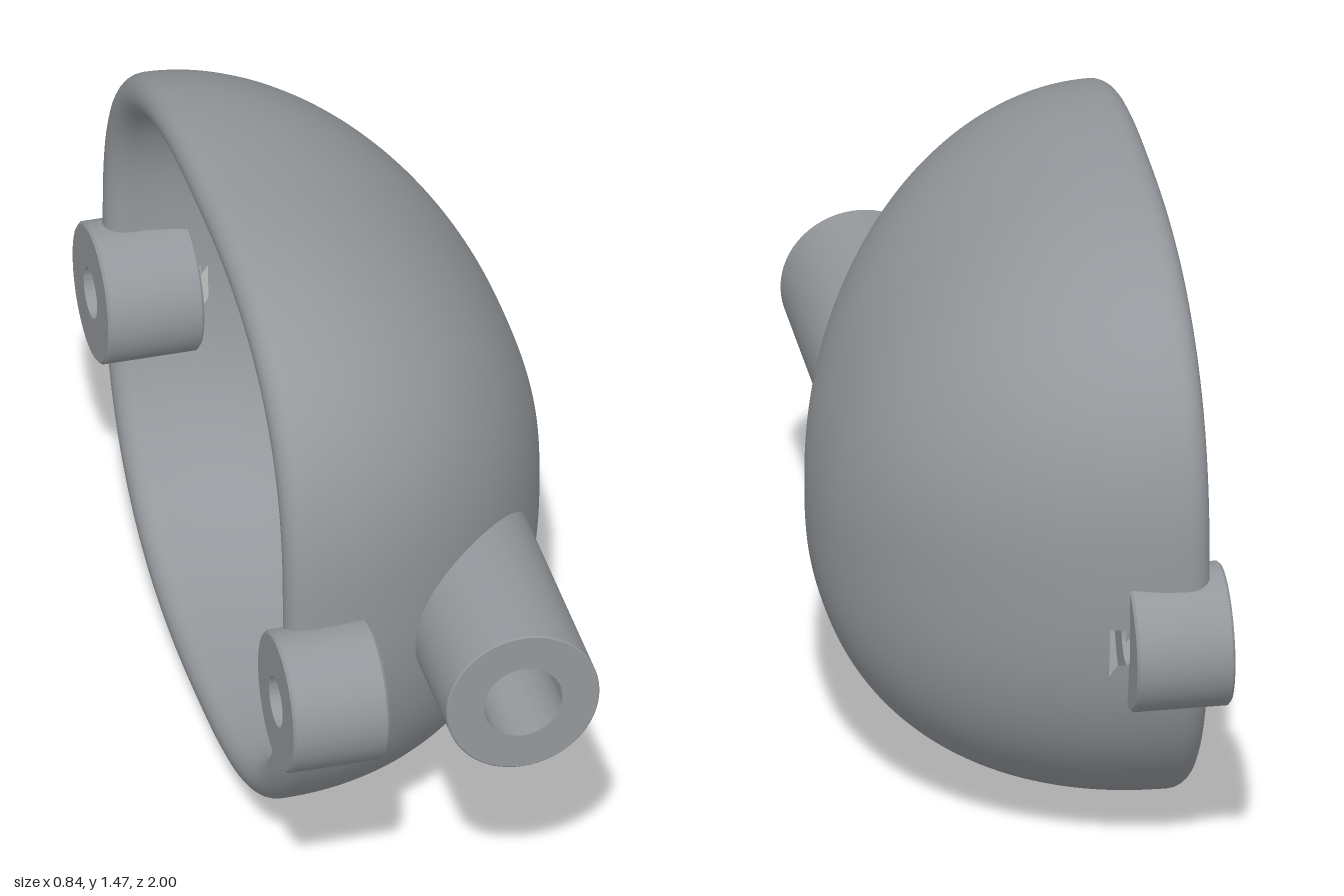
import * as THREE from 'three';
import { toCreasedNormals } from 'three/addons/utils/BufferGeometryUtils.js';

const gray = new THREE.MeshStandardMaterial({ color: 0x94989c });
gray.name = 'gray plastic';

const APEX = { y: 0.63, z: -0.15 };     // deepest point of the dome
const RIM = { y: 0.8, z: -0.03 };       // middle of the open rim
const SEG = 160;
const WALL = 0.09;
const LUG_Y = 0.617, LUG_Z = [0.817, -0.836];
const TUBE = { x: 0.115, y: 0.645 };

// Reach of the dome on one side: size at the rim, shrinking to 0 at t = 1
const reach = (size, t, n) => size * Math.pow(Math.max(0, 1 - Math.pow(t, n)), 1 / n);

// One rounded cross-section at x; t = 0 at the rim, 1 at the apex; off insets it
function ring(x, t, off) {
  const cy = THREE.MathUtils.lerp(RIM.y, APEX.y, t * t);
  const cz = THREE.MathUtils.lerp(RIM.z, APEX.z, t * t);
  const top = APEX.y + reach(0.835 - off, t, 1.9) - cy;
  const bottom = cy - APEX.y + reach(0.63 - off, t, 2.3);
  const front = APEX.z + reach(0.935 - off, t, 2) - cz;
  const back = cz - APEX.z + reach(0.76 - off, t, 1.9);
  const n = 2.6;
  const points = [];
  for (let j = 0; j < SEG; j++) {
    const a = (j / SEG) * Math.PI * 2, c = Math.cos(a), s = Math.sin(a);
    const r = Math.pow(Math.abs(c) ** n + Math.abs(s) ** n, -1 / n);
    points.push(x, cy + r * s * (s > 0 ? top : bottom), cz + r * c * (c > 0 ? front : back));
  }
  return points;
}

// True where a bore passes through the wall
function inBore(x, y, z) {
  if (z > 0 && Math.hypot(x - TUBE.x, y - TUBE.y) < 0.098) return true;
  return x < -0.15 && LUG_Z.some((lz) => Math.hypot(y - LUG_Y, z - lz) < 0.066);
}

// Hollow dome: outer skin, rolled rim, inner skin, opened at the bores
function shellGeometry() {
  const rings = [], steps = 64;
  for (let i = 0; i <= steps; i++) {
    const t = Math.cos((i / steps) * Math.PI / 2);
    rings.push(ring(-0.33 + 0.747 * t, t, 0));
  }
  for (let i = 1; i <= 12; i++) {
    const a = (i / 12) * Math.PI;
    rings.push(ring(-0.33 - 0.05 * Math.sin(a), 0, WALL / 2 * (1 - Math.cos(a))));
  }
  for (let i = 1; i <= steps; i++) {
    const t = Math.sin((i / steps) * Math.PI / 2);
    rings.push(ring(-0.33 + (0.747 - WALL) * t, t, WALL));
  }
  const pos = rings.flat(), index = [];
  for (let i = 0; i < rings.length - 1; i++) {
    for (let j = 0; j < SEG; j++) {
      const k = (j + 1) % SEG;
      const a = i * SEG + j, b = i * SEG + k, c = a + SEG, d = b + SEG;
      index.push(a, b, c, b, d, c);
    }
  }
  const geo = new THREE.BufferGeometry();
  geo.setAttribute('position', new THREE.Float32BufferAttribute(pos, 3));
  geo.setIndex(index);
  geo.computeVertexNormals();

  // Drop the faces whose middle lies in a bore
  const open = [];
  for (let f = 0; f < index.length; f += 3) {
    const tri = index.slice(f, f + 3);
    const mid = [0, 1, 2].map((k) => tri.reduce((sum, v) => sum + pos[v * 3 + k], 0) / 3);
    if (!inBore(...mid)) open.push(...tri);
  }
  geo.setIndex(open);
  return geo;
}

// Bored cylinder along y with slightly bevelled outer edges
function boredCylinder(radius, bore, length, bevel) {
  const h = length / 2;
  const profile = [
    [bore, -h], [radius - bevel, -h], [radius, -h + bevel],
    [radius, h - bevel], [radius - bevel, h], [bore, h], [bore, -h],
  ].map(([x, y]) => new THREE.Vector2(x, y));
  return toCreasedNormals(new THREE.LatheGeometry(profile, 64), 0.5);
}

export function createModel() {
  const model = new THREE.Group();
  model.name = 'cupShell';
  const add = (name, geo, x, y, z) => {
    const mesh = new THREE.Mesh(geo, gray);
    mesh.name = name;
    mesh.position.set(x, y, z);
    model.add(mesh);
  };

  add('shell', shellGeometry(), 0, 0, 0);

  // Mounting lugs on the rim, bored along x
  const lug = boredCylinder(0.165, 0.06, 0.226, 0.006).rotateZ(-Math.PI / 2);
  add('frontLug', lug, -0.305, LUG_Y, LUG_Z[0]);
  add('backLug', lug, -0.305, LUG_Y, LUG_Z[1]);

  // Tube passing through the front wall
  const tube = boredCylinder(0.18, 0.092, 0.63, 0.003).rotateX(Math.PI / 2);
  add('frontTube', tube, TUBE.x, TUBE.y, 0.685);

  return model;
}
